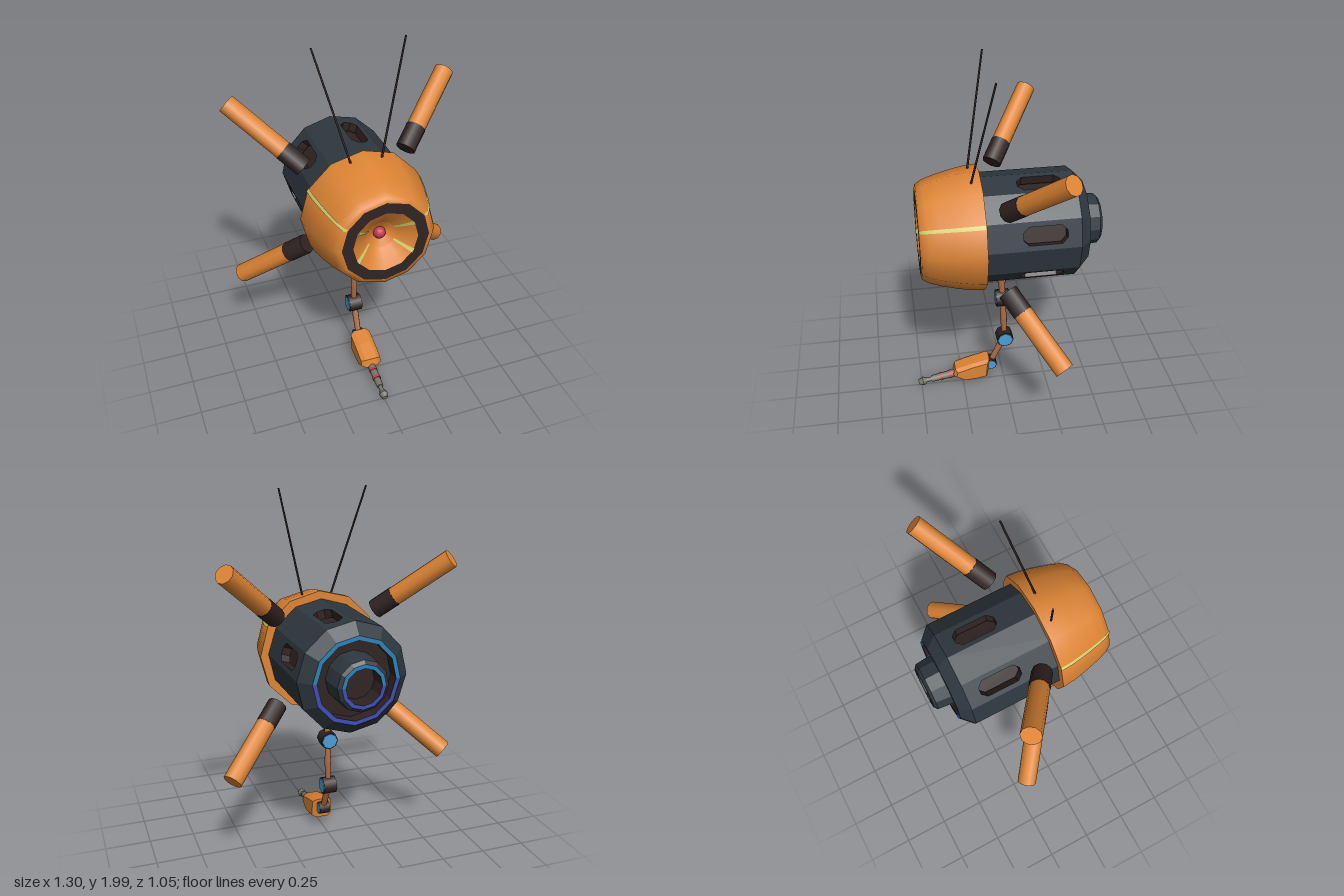
import * as THREE from 'three';

const mat = (name, color) => Object.assign(new THREE.MeshStandardMaterial({ color }), { name });
const V = (x, y, z) => new THREE.Vector3(x, y, z);
const AXIS_Y = 1.09;
const RAD = Math.PI / 180;
const BODY_TURN = 2 * RAD; // the hull polygon is turned slightly

export function createModel() {
  const orange = mat('orange', 0xdd8434);
  const slate = mat('slate', 0x2f383f);
  const umber = mat('umber', 0x2f2322);
  const sky = mat('skyBlue', 0x4a9fd8);
  const copper = mat('copper', 0xae6c45);
  const grey = mat('warmGrey', 0x78756a);
  const red = mat('red', 0xc43a4c);
  const lime = mat('paleLime', 0xd6d06c);
  const ringBlue = mat('ringBlue', 0x2b82b8);
  const indigo = mat('indigo', 0x3f4eb4);

  const model = new THREE.Group();
  const group = (name, parent = model) => {
    const g = new THREE.Group();
    g.name = name;
    parent.add(g);
    return g;
  };
  const add = (parent, name, geometry, material) => {
    const m = new THREE.Mesh(geometry, material);
    m.name = name;
    parent.add(m);
    return m;
  };
  // revolve [radius, z] points around the z axis; angles start at the bottom
  const turned = (pts, { flat = false, start = 0, length = Math.PI * 2, segs = 12 } = {}) => {
    let g = new THREE.LatheGeometry(pts.map(p => new THREE.Vector2(...p)), segs, start, length);
    g.rotateX(Math.PI / 2);
    if (flat) {
      g = g.toNonIndexed();
      g.computeVertexNormals();
    }
    return g;
  };
  // straight cylinder from a to b
  const rod = (parent, name, a, b, ra, rb, material, sides = 8) => {
    const d = b.clone().sub(a);
    const m = add(parent, name, new THREE.CylinderGeometry(rb, ra, d.length(), sides), material);
    m.position.copy(a).add(b).multiplyScalar(0.5);
    m.quaternion.setFromUnitVectors(V(0, 1, 0), d.normalize());
    return m;
  };

  const body = group('body');
  body.position.y = AXIS_Y;

  // front shell, its bezel and the lens funnel
  const shell = [[0.345, 0.13], [0.339, 0.2], [0.323, 0.28], [0.3, 0.37], [0.28, 0.43], [0.258, 0.464], [0.235, 0.47]];
  const funnel = [[0.175, 0.47], [0.145, 0.45], [0.11, 0.425], [0.08, 0.4]];
  add(body, 'frontShell', turned(shell), orange);
  add(body, 'shellRearRim', turned([[0.27, 0.13], [0.345, 0.13]]), orange);
  add(body, 'frontBezel', turned([[0.235, 0.47], [0.175, 0.47]]), umber);
  add(body, 'lensFunnel', turned(funnel), orange);
  add(body, 'lensDish', turned([[0.08, 0.4], [0, 0.35]]), orange);
  add(body, 'lensEye', new THREE.SphereGeometry(0.033, 12, 8), red).position.z = 0.375;

  // painted stripes on the shell and in the funnel
  const stripe = (name, pts, angle, width) => add(body, name,
    turned(pts, { start: (angle + 90 - width / 2) * RAD, length: width * RAD, segs: 1 }), lime);
  for (const a of [30, 150]) stripe('shellStripe', shell.map(([r, z]) => [r + 0.003, z + 0.001]), a, 3.6);
  for (const a of [30, 150, 210, 330]) stripe('funnelStripe', funnel.map(([r, z]) => [r - 0.002, z + 0.004]), a, 8);

  // hull: twelve panels, every second one with a chamfered slot
  const R = 0.3, depth = 0.05;
  const apothem = R * Math.cos(15 * RAD), half = R * Math.sin(15 * RAD);
  const toHull = new THREE.Matrix4().makeBasis(V(-1, 0, 0), V(0, 0, 1), V(0, 1, 0));
  for (let i = 0; i < 12; i++) {
    const shape = new THREE.Shape([[-half, -0.37], [half, -0.37], [half, 0.2], [-half, 0.2]]
      .map(p => new THREE.Vector2(...p)));
    if (i % 2 === 0) {
      const w = 0.05, l = 0.117, c = 0.03, z = -0.178;
      shape.holes.push(new THREE.Path([[-w, -l + c], [-w, l - c], [-w + c, l], [w - c, l],
        [w, l - c], [w, -l + c], [w - c, -l], [-w + c, -l]].map(([x, y]) => new THREE.Vector2(x, y + z))));
    }
    const g = new THREE.ExtrudeGeometry(shape, { depth, bevelEnabled: false });
    g.translate(0, 0, apothem - depth).applyMatrix4(toHull);
    add(body, 'hullPanel', g, [slate, umber]).rotation.z = -(13 + 30 * i) * RAD;
  }
  const hullOpt = { flat: true, start: BODY_TURN };
  add(body, 'innerCore', turned([[0.235, -0.36], [0.235, 0.13]], hullOpt), umber);

  // stern: chamfer, recess, hub and glowing rings
  add(body, 'sternChamfer', turned([[0.215, -0.43], [0.237, -0.43], [0.3, -0.37]], hullOpt), slate);
  add(body, 'sternRecess', turned([[0.12, -0.36], [0.215, -0.36], [0.215, -0.43]], hullOpt), umber);
  add(body, 'rearHub', turned([[0.098, -0.525], [0.118, -0.525], [0.137, -0.51], [0.145, -0.43], [0.145, -0.36]], hullOpt), slate);
  add(body, 'hubBore', turned([[0, -0.42], [0.098, -0.42], [0.098, -0.525]], hullOpt), umber);
  for (const [name, inner, outer, z] of [['sternRing', 0.213, 0.237, -0.432], ['hubRing', 0.097, 0.118, -0.527]]) {
    const halfRing = (start, material) => add(body, name,
      turned([[inner, z], [outer, z]], { start: start + BODY_TURN, length: Math.PI, segs: 6 }), material);
    halfRing(Math.PI / 2, ringBlue);
    halfRing(-Math.PI / 2, indigo);
  }

  // four splayed thruster pods
  for (const sx of [1, -1]) for (const sy of [1, -1]) {
    const pod = group('thrusterPod', body);
    const a = V(0.285 * sx, 0.244 * sy, 0.022), b = V(0.61 * sx, 0.547 * sy, -0.227);
    const m = a.clone().lerp(b, 0.27);
    rod(pod, 'podCollar', a, m, 0.055, 0.055, umber, 10);
    rod(pod, 'podBarrel', m, b, 0.053, 0.053, orange, 10);
  }

  // antennas
  for (const s of [1, -1])
    rod(model, 'antenna', V(0.083 * s, 1.4, 0.183), V(0.242 * s, 2, 0.072), 0.006, 0.005, umber, 6);

  // jointed arm
  const arm = group('arm');
  const joint = (name, c, axis, r, h) => {
    const g = group(name, arm);
    const off = t => c.clone().addScaledVector(axis, t);
    rod(g, 'jointDrum', off(-h), off(h), r, r, umber, 8);
    rod(g, 'jointCaps', off(-h - 0.003), off(h + 0.003), r * 0.86, r * 0.86, sky, 8);
  };
  const j1 = V(0, 0.605, 0.007), j2 = V(0, 0.322, -0.005), j3 = V(0, 0.135, 0.082);
  rod(arm, 'shoulderMount', V(0, 0.82, 0.01), V(0, 0.72, 0.01), 0.027, 0.025, copper);
  rod(arm, 'shoulderStem', V(0, 0.72, 0.01), j1, 0.019, 0.017, copper);
  rod(arm, 'upperLink', j1, V(0, 0.46, 0), 0.013, 0.02, copper);
  rod(arm, 'upperLink', V(0, 0.46, 0), j2, 0.02, 0.014, copper);
  rod(arm, 'lowerLink', j2, j3, 0.02, 0.017, copper);
  joint('elbowJoint', j1, V(0, 0, 1), 0.05, 0.038);
  joint('foreJoint', j2, V(1, 0, 0), 0.05, 0.038);
  joint('wristJoint', j3, V(1, 0, 0), 0.037, 0.03);

  // tool housing: side outline with bevelled flanks
  const outline = [[0.105, 0.17], [0.19, 0.15], [0.285, 0.12], [0.292, 0.09], [0.24, 0.06], [0.17, 0.064], [0.115, 0.075]];
  const housing = new THREE.ExtrudeGeometry(new THREE.Shape(outline.map(p => new THREE.Vector2(...p))),
    { depth: 0.07, bevelEnabled: true, bevelSegments: 1, bevelSize: 0.014, bevelThickness: 0.024 });
  housing.translate(0, 0, -0.035).rotateY(-Math.PI / 2);
  add(arm, 'toolHousing', housing, orange);

  // tool barrel with red bands and a blunt tip
  const t0 = V(0, 0.082, 0.27), t1 = V(0, 0.031, 0.52);
  const at = t => t0.clone().lerp(t1, t);
  rod(arm, 'toolBarrel', at(0), at(0.68), 0.024, 0.02, grey);
  for (const t of [0.2, 0.42]) rod(arm, 'toolBand', at(t), at(t + 0.06), 0.025, 0.025, red);
  rod(arm, 'toolNeck', at(0.68), at(0.86), 0.013, 0.013, grey);
  rod(arm, 'toolTip', at(0.8), at(0.88), 0.015, 0.026, grey);
  rod(arm, 'toolTip', at(0.88), at(0.99), 0.026, 0.016, grey);

  return model;
}
